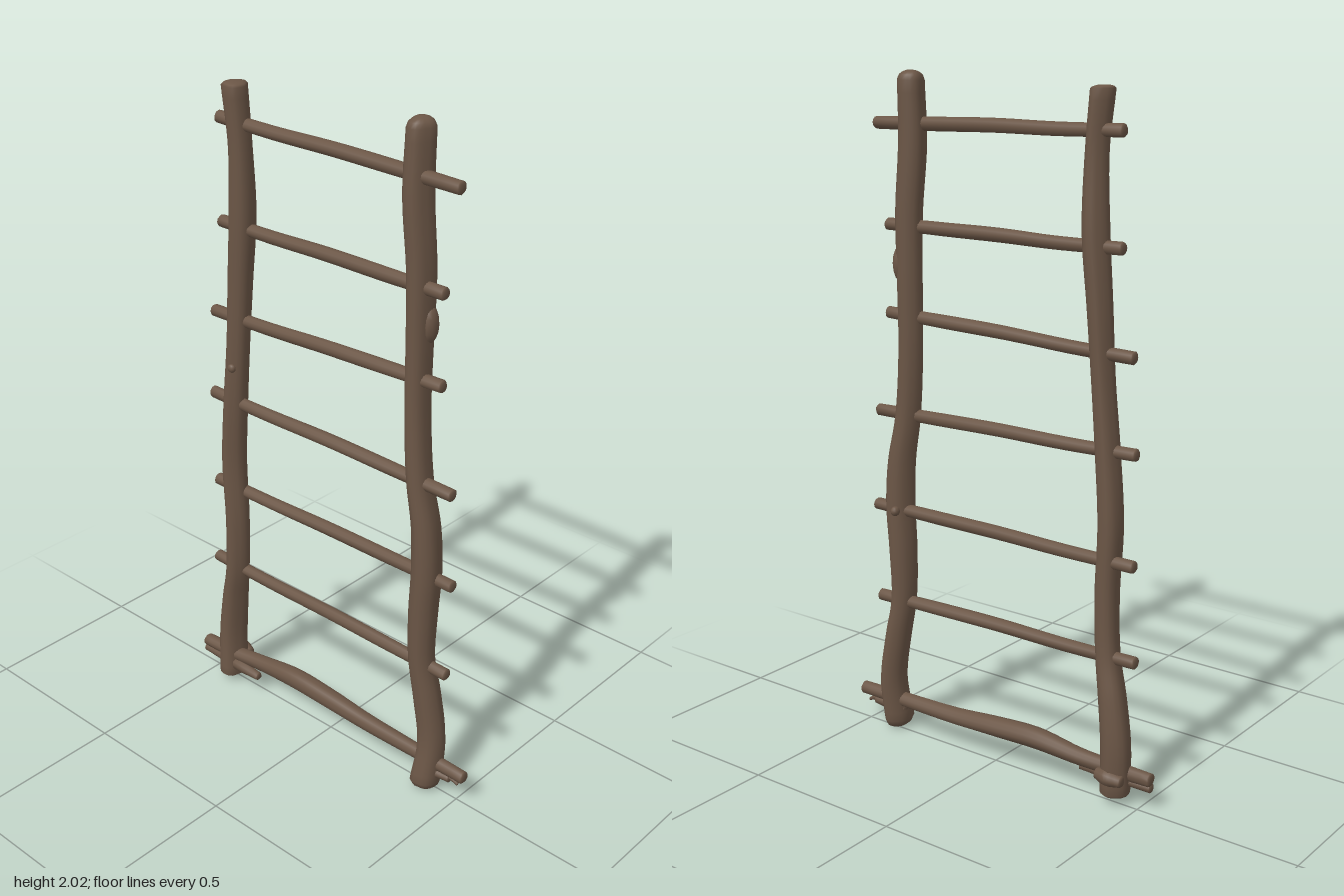
import * as THREE from 'three';

const bark = new THREE.MeshStandardMaterial({ color: 0x6b5646 });
bark.name = 'bark brown';

// Rough round stick along stations [x, y, z, radius], with softly rounded ends;
// depth widens the section from front to back
function stick(name, stations, { steps = 40, sides = 14, rough = 0.06, seed = 0, round = 0.3, depth = 1 } = {}) {
  const path = new THREE.CatmullRomCurve3(stations.map(s => new THREE.Vector3(s[0], s[1], s[2])));
  const radii = new THREE.SplineCurve(stations.map((s, i) => new THREE.Vector2(i, s[3])));
  const first = path.getPoint(0), last = path.getPoint(1);
  const axis = last.clone().sub(first).normalize();
  const u = new THREE.Vector3(0, 0, 1).addScaledVector(axis, -axis.z).normalize();
  const v = axis.clone().cross(u);

  // Rings [t, scale, push]: the sweep itself, with shrinking rings at each end
  const cap = [[0, 1], [0.35, 0.94], [0.6, 0.8], [0.85, 0.53]];
  const all = [
    ...cap.map(([s, d]) => [0, s, -d * round]),
    ...Array.from({ length: steps + 1 }, (_, i) => [i / steps, 1, 0]),
    ...cap.map(([s, d]) => [1, s, d * round]).reverse(),
  ];

  const pos = [], idx = [];
  for (const [t, scale, push] of all) {
    const r = radii.getPoint(t).y;
    const c = path.getPoint(t).addScaledVector(axis, push * r);
    for (let j = 0; j < sides; j++) {
      const a = (j / sides) * Math.PI * 2;
      const ridge = 1 + rough * (Math.sin(3 * a + seed + 4 * t) * 0.6 + Math.sin(5 * a - seed * 2 + 7 * t) * 0.4);
      const p = c.clone()
        .addScaledVector(u, Math.cos(a) * r * scale * ridge * depth)
        .addScaledVector(v, Math.sin(a) * r * scale * ridge);
      pos.push(p.x, p.y, p.z);
    }
  }
  for (let i = 0; i < all.length - 1; i++) {
    for (let j = 0; j < sides; j++) {
      const k = (j + 1) % sides;
      const a = i * sides + j, b = i * sides + k, c = a + sides, d = b + sides;
      idx.push(a, b, d, a, d, c);
    }
  }
  const g = new THREE.BufferGeometry();
  g.setAttribute('position', new THREE.Float32BufferAttribute(pos, 3));
  g.setIndex(idx);
  g.computeVertexNormals();
  const mesh = new THREE.Mesh(g, bark);
  mesh.name = name;
  return mesh;
}

// Small swelling on a rail
function knot(name, x, y, z, sx, sy, sz) {
  const mesh = new THREE.Mesh(new THREE.SphereGeometry(1, 12, 8), bark);
  mesh.name = name;
  mesh.position.set(x, y, z);
  mesh.scale.set(sx, sy, sz);
  return mesh;
}

export function createModel() {
  const ladder = new THREE.Group();
  ladder.name = 'ladder';

  // Crooked side rails, wider apart at the foot
  ladder.add(stick('rightRail', [
    [-0.422, 0.013, 0.01, 0.042], [-0.425, 0.16, 0.002, 0.041], [-0.408, 0.3, 0.004, 0.038],
    [-0.385, 0.42, 0.012, 0.034], [-0.377, 0.6, 0.014, 0.034], [-0.385, 0.8, 0.012, 0.035],
    [-0.37, 1.0, 0.014, 0.034], [-0.353, 1.2, 0.012, 0.032], [-0.34, 1.4, 0.008, 0.034],
    [-0.323, 1.6, 0.008, 0.036], [-0.317, 1.8, 0.016, 0.031], [-0.328, 1.965, 0.022, 0.033],
  ], { steps: 60, sides: 18, seed: 1, rough: 0.09, depth: 1.15 }));
  ladder.add(stick('leftRail', [
    [0.393, 0.015, 0.01, 0.043], [0.4, 0.15, -0.004, 0.039], [0.38, 0.3, 0.0, 0.038],
    [0.361, 0.42, 0.007, 0.036], [0.36, 0.58, 0.007, 0.039], [0.365, 0.72, 0.006, 0.04],
    [0.357, 0.86, 0.007, 0.038], [0.333, 1.0, 0.011, 0.035], [0.315, 1.2, 0.007, 0.034],
    [0.312, 1.4, 0.003, 0.035], [0.312, 1.6, 0.003, 0.037], [0.3, 1.8, 0.008, 0.038],
    [0.301, 1.973, 0.004, 0.036],
  ], { steps: 60, sides: 18, seed: 4, rough: 0.09, round: 0.75, depth: 1.15 }));

  // Knots on the rails
  ladder.add(knot('leftRailKnot', 0.335, 1.455, -0.008, 0.026, 0.055, 0.028));
  ladder.add(knot('leftRailBackKnot', 0.35, 0.71, -0.038, 0.013, 0.015, 0.016));
  ladder.add(knot('rightRailKnot', -0.352, 1.13, 0.044, 0.014, 0.014, 0.011));

  // Rungs: right end x, y, left end x, y, depth
  const rungs = [
    [-0.4, 1.862, 0.44, 1.85, 0.015], [-0.408, 1.56, 0.398, 1.562, 0.01],
    [-0.45, 1.275, 0.4, 1.303, 0.01], [-0.46, 1.01, 0.45, 1.0, 0.015],
    [-0.47, 0.7, 0.452, 0.706, 0.0], [-0.478, 0.42, 0.448, 0.41, 0.006],
  ];
  rungs.forEach(([x0, y0, x1, y1, z], i) => {
    const at = (t, dy, r) => [x0 + (x1 - x0) * t, y0 + (y1 - y0) * t + dy, z, r];
    ladder.add(stick('rung' + (i + 1), [
      at(0, 0, 0.018), at(0.25, -0.002, 0.019), at(0.5, 0.002, 0.02), at(0.75, 0.001, 0.02), at(1, 0, 0.018),
    ], { steps: 16, sides: 12, seed: i * 1.7 }));
  });

  // Thick bowed bottom rung with splintered stubs at both ends
  ladder.add(stick('bottomRung', [
    [-0.53, 0.076, 0.018, 0.02], [-0.42, 0.078, 0.014, 0.023], [-0.3, 0.085, 0.004, 0.025],
    [-0.15, 0.098, 0.002, 0.031], [0.0, 0.092, 0.001, 0.03], [0.15, 0.083, 0.001, 0.026],
    [0.35, 0.081, 0.002, 0.022], [0.525, 0.079, 0.003, 0.019],
  ], { steps: 32, seed: 2, rough: 0.08 }));
  ladder.add(stick('rightStub', [
    [-0.53, 0.049, 0.022, 0.014], [-0.45, 0.051, 0.022, 0.018], [-0.37, 0.051, 0.025, 0.019], [-0.292, 0.047, 0.026, 0.013],
  ], { steps: 12, sides: 10, seed: 3, rough: 0.1 }));
  ladder.add(stick('rightBackStub', [
    [-0.46, 0.065, -0.025, 0.018], [-0.42, 0.07, -0.032, 0.024], [-0.38, 0.07, -0.025, 0.018],
  ], { steps: 8, sides: 10, seed: 5 }));
  ladder.add(stick('leftStub', [
    [0.36, 0.052, 0.006, 0.018], [0.42, 0.05, 0.006, 0.019], [0.475, 0.05, 0.004, 0.014],
  ], { steps: 10, sides: 10, seed: 6, rough: 0.1 }));
  ladder.add(stick('leftSplinter', [
    [0.45, 0.06, 0.003, 0.01], [0.485, 0.053, 0.003, 0.008], [0.505, 0.043, 0.003, 0.005],
  ], { steps: 6, sides: 8, seed: 7 }));

  return ladder;
}
